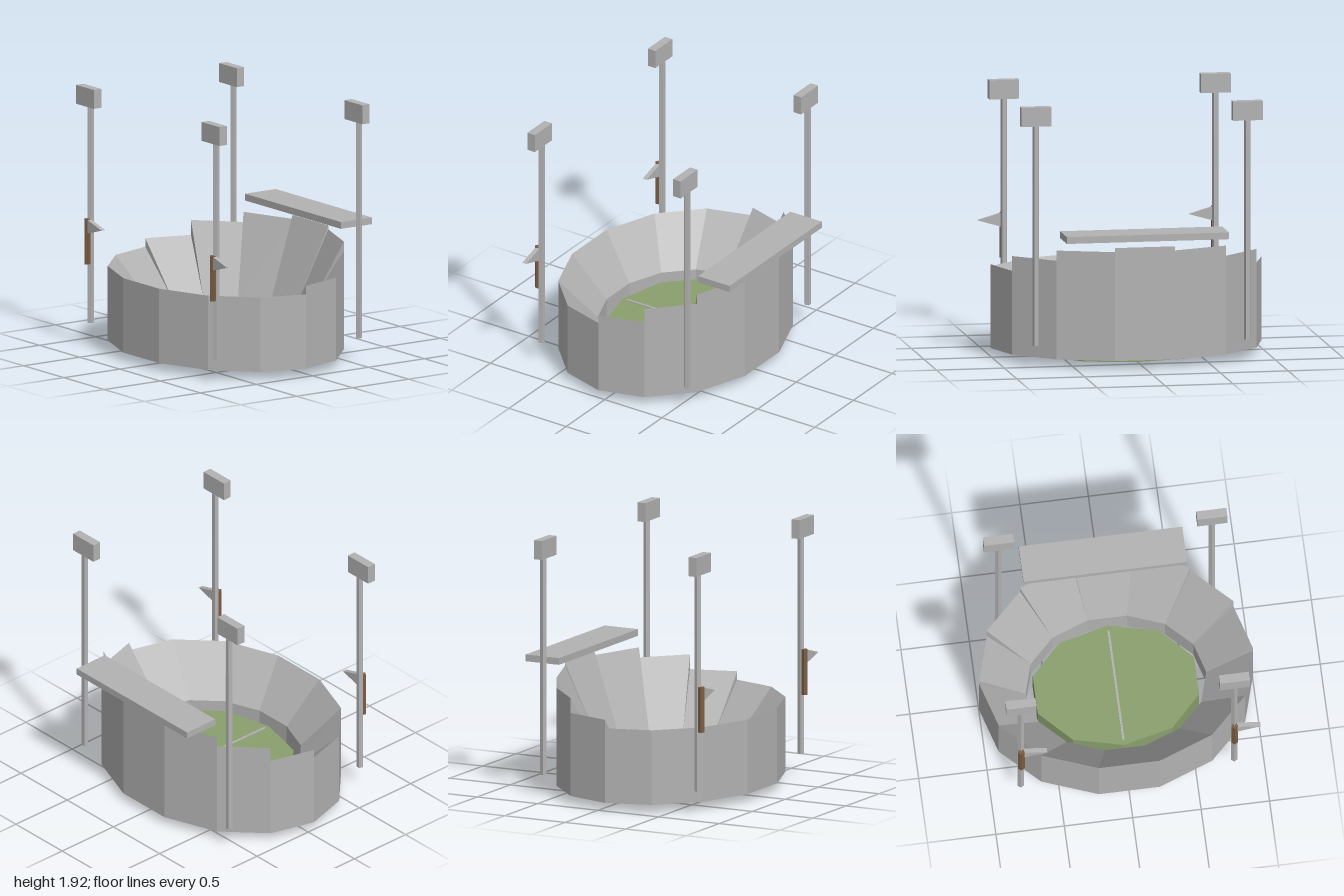
import * as THREE from 'three';
import { ConvexGeometry } from 'three/addons/geometries/ConvexGeometry.js';

function material(name, color) {
  const m = new THREE.MeshStandardMaterial({ color, flatShading: true });
  m.name = name;
  return m;
}

export function createModel() {
  const group = new THREE.Group();
  const gray = material('concreteGray', 0xb2b2b2);
  const green = material('grassGreen', 0x8a9f6d);
  const brown = material('woodBrown', 0x7a5c42);

  const add = (name, geometry, mat, x = 0, y = 0, z = 0) => {
    const mesh = new THREE.Mesh(geometry, mat);
    mesh.name = name;
    mesh.position.set(x, y, z);
    group.add(mesh);
    return mesh;
  };
  const box = (name, w, h, d, x, y, z) => add(name, new THREE.BoxGeometry(w, h, d), gray, x, y, z);

  // Oval ring of sloped stands, stepping up towards the back
  const centreZ = 0.055, sides = 14, bottom = 0.06, innerTop = 0.28;
  const backHeights = [0.675, 0.785, 0.86, 0.89, 0.86, 0.785, 0.675];
  const ringPoint = (i, rx, rz, y) => {
    const a = (i / sides) * Math.PI * 2;
    return new THREE.Vector3(Math.cos(a) * rx, y, centreZ + Math.sin(a) * rz);
  };
  for (let i = 0; i < sides; i++) {
    const top = i < 7 ? 0.612 : backHeights[i - 7];
    const corners = [];
    for (const j of [i, i + 1]) {
      corners.push(
        ringPoint(j, 1, 0.775, bottom), ringPoint(j, 1, 0.775, top),
        ringPoint(j, 0.66, 0.518, bottom), ringPoint(j, 0.66, 0.518, innerTop));
    }
    add('stand', new ConvexGeometry(corners), gray);
  }

  // Playing field with its halfway line
  const fieldTop = 0.23;
  add('field', new THREE.CylinderGeometry(1, 1, fieldTop, 10), green, 0, fieldTop / 2, centreZ)
    .scale.set(0.62, 1, 0.465);
  box('halfwayLine', 0.016, 0.008, 0.85, 0, fieldTop + 0.004, centreZ);

  // Flat roof behind the main stand
  box('roof', 1.195, 0.05, 0.275, 0, 0.975, -0.682);

  // Floodlights at the four corners
  for (const x of [-0.78, 0.78]) {
    for (const z of [0.703, -0.572]) {
      add('floodlightPole', new THREE.CylinderGeometry(0.025, 0.025, 1.61, 5), gray, x, 0.975, z);
      box('floodlightHead', 0.22, 0.14, 0.066, x, 1.85, z + 0.015);
    }
  }

  // Pennants on short posts at the front
  const pennant = new THREE.Shape([
    new THREE.Vector2(0, 0.055), new THREE.Vector2(0, -0.055), new THREE.Vector2(0.19, 0)]);
  const pennantGeometry = new THREE.ExtrudeGeometry(pennant, { depth: 0.034, bevelEnabled: false });
  for (const x of [-0.78, 0.78]) {
    add('flagPost', new THREE.CylinderGeometry(0.026, 0.026, 0.335, 5), brown, x, 0.777, 0.731);
    add('pennant', pennantGeometry, gray, x, 0.89, 0.708);
  }
  return group;
}
